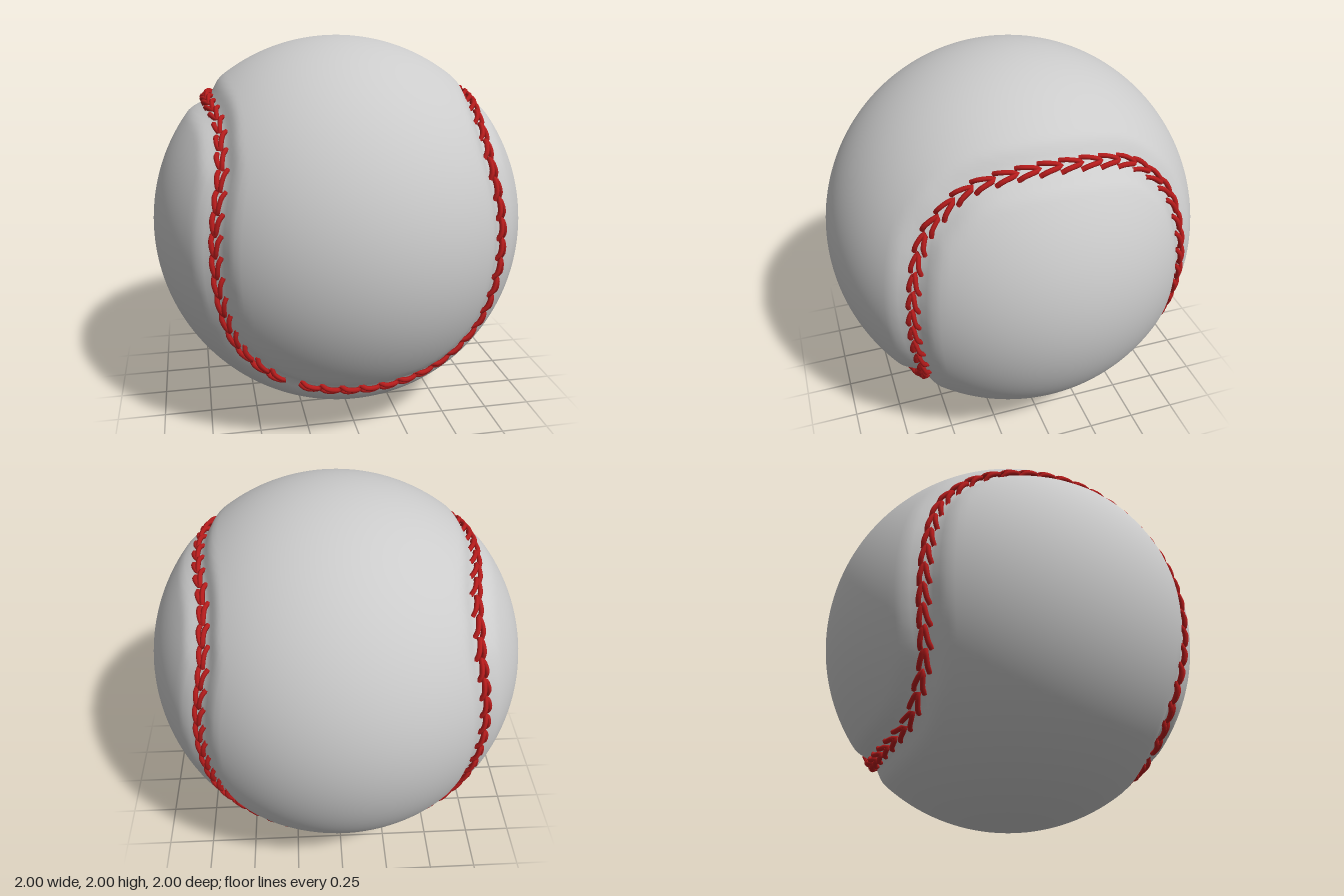
import * as THREE from 'three';
import { mergeGeometries, mergeVertices } from 'three/addons/utils/BufferGeometryUtils.js';

// Closed seam on the unit sphere, grown by symmetry from one eighth of its length
function seamCurve() {
  const eighth = [[0, -0.71], [0.2, -0.695], [0.36, -0.655], [0.46, -0.6], [0.535, -0.53],
    [0.61, -0.44], [0.66, -0.32], [0.69, -0.18], [0.707, 0]]
    .map(([x, y]) => new THREE.Vector3(x, y, Math.sqrt(1 - x * x - y * y)));
  const back = (pts, rule) => pts.slice(0, -1).reverse().map(rule);
  const quarter = [...eighth, ...back(eighth, p => new THREE.Vector3(p.z, -p.y, p.x))];
  const half = [...quarter, ...back(quarter, p => new THREE.Vector3(p.x, p.y, -p.z))];
  const loop = [...half, ...back(half, p => new THREE.Vector3(-p.x, p.y, p.z)).slice(0, -1)];
  const curve = new THREE.CatmullRomCurve3(loop, true);
  curve.arcLengthDivisions = 800;
  return curve;
}

// Smooth ball pressed in along the seam
function ballGeometry(curve) {
  const sphere = new THREE.SphereGeometry(1, 160, 100);
  sphere.deleteAttribute('uv');
  sphere.deleteAttribute('normal');
  const geo = mergeVertices(sphere, 1e-5);
  const samples = curve.getSpacedPoints(400);
  const pos = geo.attributes.position;
  const v = new THREE.Vector3();
  const width = 0.13, depth = 0.035;
  for (let i = 0; i < pos.count; i++) {
    v.fromBufferAttribute(pos, i);
    let d2 = Infinity;
    for (const s of samples) d2 = Math.min(d2, v.distanceToSquared(s));
    const k = Math.max(0, 1 - Math.sqrt(d2) / width);
    v.multiplyScalar(1 - depth * k * k * (3 - 2 * k));
    pos.setXYZ(i, v.x, v.y, v.z);
  }
  geo.computeVertexNormals();
  return geo;
}

// Row of V-shaped thread stitches straddling the seam, with a small gap where it closes
function stitchGeometry(curve) {
  const count = 90;
  const length = curve.getLength();
  const start = 1 - 0.31 / length;
  const span = 1 - 0.08 / length;
  // across, along, radius
  const chevron = [[-0.03, -0.01, 0.972], [-0.022, 0.02, 0.99], [-0.009, 0.075, 0.99],
    [0, 0.095, 0.982], [0.009, 0.075, 0.99], [0.022, 0.02, 0.99], [0.03, -0.01, 0.972]];
  const parts = [];
  for (let i = 0; i < count; i++) {
    const u = (start + span * i / count) % 1;
    const n = curve.getPointAt(u).normalize();
    const t = curve.getTangentAt(u);
    const b = new THREE.Vector3().crossVectors(n, t).normalize();
    const path = chevron.map(([across, along, r]) =>
      curve.getPointAt((u + along / length + 1) % 1)
        .addScaledVector(b, across).normalize().multiplyScalar(r));
    parts.push(new THREE.TubeGeometry(new THREE.CatmullRomCurve3(path), 14, 0.0125, 6));
  }
  return mergeGeometries(parts);
}

export function createModel() {
  const group = new THREE.Group();
  group.name = 'baseball';
  const curve = seamCurve();

  const ball = new THREE.Mesh(ballGeometry(curve), new THREE.MeshStandardMaterial({ color: 0xcccccc }));
  ball.name = 'leatherCover';

  const stitches = new THREE.Mesh(stitchGeometry(curve),
    new THREE.MeshStandardMaterial({ color: 0xb81c1c, side: THREE.DoubleSide }));
  stitches.name = 'seamStitches';

  ball.position.y = stitches.position.y = 1;
  group.add(ball, stitches);
  return group;
}
